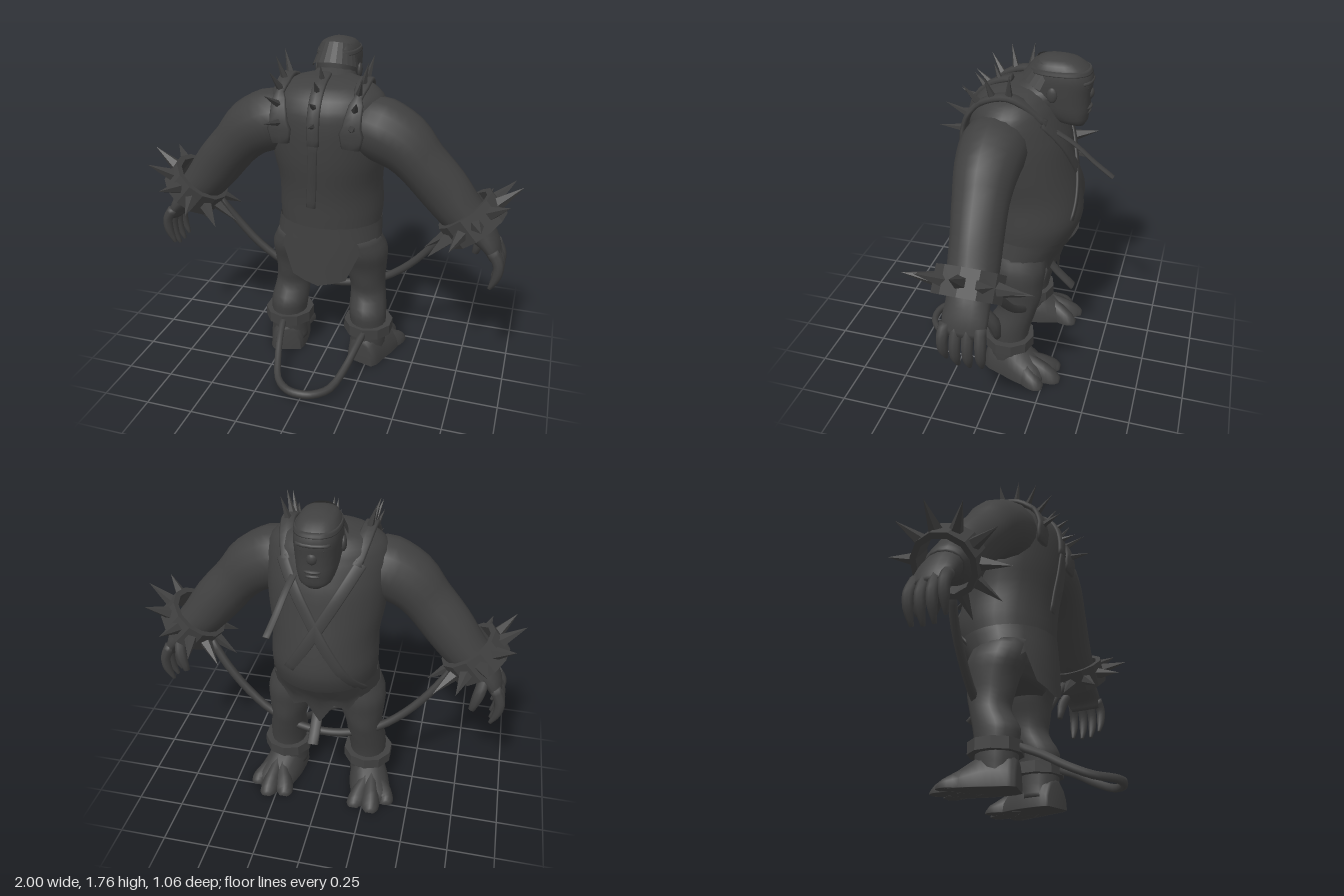
import * as THREE from 'three';

const V = (x, y, z) => new THREE.Vector3(x, y, z);
const X = V(1, 0, 0), Y = V(0, 1, 0), Z = V(0, 0, 1);
const soft = (v, p) => Math.sign(v) * Math.abs(v) ** p;

// Smooth loft. Rows: [x, y, z, halfWidth along ref, halfDepth]; dir fixes the ring plane,
// floor clamps the underside, pow below 1 makes the section squarer.
function loft(rows, ref, dir, sides = 16, floor = -1, pow = 1) {
  const path = new THREE.CatmullRomCurve3(rows.map(r => V(r[0], r[1], r[2])));
  const size = new THREE.CatmullRomCurve3(rows.map(r => V(r[3], r[4], 0)));
  const n = (rows.length - 1) * 3, pos = [], idx = [];
  const put = p => pos.push(p.x, Math.max(p.y, floor), p.z);
  for (let i = 0; i <= n; i++) {
    const p = path.getPoint(i / n), s = size.getPoint(i / n);
    const t = dir || path.getTangent(i / n);
    const a = ref.clone().addScaledVector(t, -ref.dot(t)).normalize();
    const b = t.clone().cross(a);
    for (let j = 0; j < sides; j++) {
      const u = j / sides * Math.PI * 2;
      put(p.clone().addScaledVector(a, soft(Math.cos(u), pow) * s.x).addScaledVector(b, soft(Math.sin(u), pow) * s.y));
    }
  }
  for (let i = 0; i < n; i++) for (let j = 0; j < sides; j++) {
    const k = (j + 1) % sides, A = i * sides, B = A + sides;
    idx.push(A + j, A + k, B + k, A + j, B + k, B + j);
  }
  const c = (n + 1) * sides, last = n * sides;
  put(path.getPoint(0)); put(path.getPoint(1));
  for (let j = 0; j < sides; j++) {
    const k = (j + 1) % sides;
    idx.push(c, k, j, c + 1, last + j, last + k);
  }
  const g = new THREE.BufferGeometry();
  g.setAttribute('position', new THREE.Float32BufferAttribute(pos, 3));
  g.setIndex(idx);
  g.computeVertexNormals();
  return g;
}

function flat(g) {
  const f = g.index ? g.toNonIndexed() : g;
  f.computeVertexNormals();
  return f;
}

// Torso rings, also sampled to lay straps on the skin
const TORSO = [
  [0, 0.58, -0.03, 0.17, 0.12], [0, 0.67, -0.05, 0.27, 0.185], [0, 0.8, -0.08, 0.272, 0.24],
  [0, 0.92, -0.095, 0.28, 0.265], [0, 1.05, -0.08, 0.275, 0.265], [0, 1.2, -0.05, 0.297, 0.263],
  [0, 1.35, -0.028, 0.31, 0.255], [0, 1.46, -0.01, 0.31, 0.232], [0, 1.53, -0.01, 0.285, 0.2],
  [0, 1.58, -0.02, 0.22, 0.155], [0, 1.61, -0.05, 0.1, 0.09]];
function skinZ(x, y, side) {
  let i = 0;
  while (i < TORSO.length - 2 && TORSO[i + 1][1] < y) i++;
  const a = TORSO[i], b = TORSO[i + 1], f = (y - a[1]) / (b[1] - a[1]);
  const m = k => a[k] + (b[k] - a[k]) * f;
  return m(2) + side * m(4) * Math.sqrt(Math.max(0, 1 - (x / m(3)) ** 2));
}

export function createModel() {
  const model = new THREE.Group();
  model.name = 'chainedBrute';
  const mat = new THREE.MeshStandardMaterial({ color: 0x404040, side: THREE.DoubleSide });
  mat.name = 'darkGrey';
  const add = (name, geo, parent = model) => {
    const m = new THREE.Mesh(geo, mat);
    m.name = name;
    parent.add(m);
    return m;
  };
  const mir = (rows, s) => rows.map(r => [s * r[0], ...r.slice(1)]);
  const ribbon = (name, pts, w, ref, d = 0.008) =>
    add(name, loft(pts.map(p => [...p, w / 2, d]), ref, null, 8, -1, 0.6));
  const spike = (base, dir, len, r, parent = model) => {
    const m = add('spike', flat(new THREE.ConeGeometry(r, len, 5)), parent);
    dir.normalize();
    m.quaternion.setFromUnitVectors(Y, dir);
    m.position.copy(base).addScaledVector(dir, len / 2);
  };
  const ball = (name, x, y, z, rx, ry, rz) => {
    const m = add(name, new THREE.SphereGeometry(1, 12, 8));
    m.position.set(x, y, z);
    m.scale.set(rx, ry, rz);
  };
  // Square-section cuff
  const cuff = (name, r0, r1, h, sides, parent) => add(name, flat(new THREE.LatheGeometry(
    [[r0, -h], [r1, -h], [r1, h], [r0, h], [r0, -h]].map(p => new THREE.Vector2(...p)), sides)), parent);

  // Body and neck
  add('torso', loft(TORSO, X, Y, 28));
  add('neck', loft([[0, 1.48, 0, 0.15, 0.11], [0, 1.54, -0.1, 0.13, 0.1], [0, 1.58, -0.2, 0.1, 0.1]], X));

  // Head, facing -z
  add('head', loft([[0, 1.425, -0.31, 0.035, 0.035], [0, 1.45, -0.285, 0.075, 0.075], [0, 1.51, -0.24, 0.097, 0.13],
    [0, 1.58, -0.22, 0.106, 0.152], [0, 1.65, -0.225, 0.11, 0.155], [0, 1.705, -0.222, 0.104, 0.142],
    [0, 1.745, -0.208, 0.08, 0.1], [0, 1.765, -0.2, 0.03, 0.04]], X, Y, 24, -1, 0.8));
  ball('nose', 0, 1.59, -0.366, 0.026, 0.03, 0.02);
  ball('brow', 0, 1.655, -0.35, 0.085, 0.016, 0.034);
  ball('upperLip', 0, 1.522, -0.355, 0.045, 0.011, 0.026);
  ball('lowerLip', 0, 1.498, -0.348, 0.045, 0.013, 0.028);
  const cap = add('capFlap', flat(new THREE.CylinderGeometry(0.09, 0.12, 0.11, 12, 1, true, -Math.PI / 2, Math.PI)));
  cap.position.set(0, 1.67, -0.17);
  cap.rotation.x = -0.4;
  add('headband', loft([[0, 1.69, -0.222, 0.11, 0.151], [0, 1.712, -0.221, 0.104, 0.142]], X, Y, 24, -1, 0.8));

  for (const s of [1, -1]) {
    const side = s > 0 ? 'left' : 'right';
    ball(side + 'Ear', s * 0.112, 1.6, -0.205, 0.014, 0.038, 0.026);
    ball(side + 'Eye', s * 0.045, 1.63, -0.357, 0.016, 0.01, 0.012);

    // Arm, hand and fingers
    add(side + 'Arm', loft(mir([[0.16, 1.41, 0.02, 0.14, 0.11], [0.28, 1.375, 0.03, 0.165, 0.16],
      [0.4, 1.315, 0.03, 0.152, 0.152], [0.5, 1.215, 0.025, 0.135, 0.13], [0.61, 1.09, 0.01, 0.125, 0.13],
      [0.7, 0.98, 0, 0.122, 0.118], [0.77, 0.915, -0.005, 0.115, 0.1], [0.8, 0.885, -0.005, 0.1, 0.08]], s), Z));
    add(side + 'Hand', loft(mir([[0.75, 0.94, 0, 0.1, 0.085], [0.82, 0.87, -0.01, 0.105, 0.068],
      [0.87, 0.81, -0.01, 0.108, 0.047], [0.897, 0.75, -0.01, 0.098, 0.032]], s), Z));
    [0.075, 0.022, -0.032, -0.088].forEach((z, i) => {
      const d = [0.03, 0, 0, 0.01][i];
      add(side + 'Finger', loft(mir([[0.885, 0.8, z, 0.03, 0.03], [0.92, 0.71 + d, z * 1.1, 0.028, 0.028],
        [0.917, 0.64 + d, z * 1.1, 0.025, 0.024], [0.888, 0.565 + d, z * 1.05, 0.01, 0.01]], s), Z, null, 8));
    });
    add(side + 'Thumb', loft(mir([[0.83, 0.86, -0.07, 0.03, 0.03], [0.81, 0.78, -0.125, 0.03, 0.031],
      [0.783, 0.68, -0.135, 0.016, 0.018]], s), Z, null, 8));

    // Spiked wrist band
    const wrist = new THREE.Group();
    wrist.name = side + 'WristBand';
    wrist.position.set(s * 0.766, 0.937, 0);
    wrist.rotation.z = s * 0.7;
    model.add(wrist);
    cuff('band', 0.135, 0.165, 0.066, 12, wrist);
    for (let k = 0; k < 10; k++) {
      const a = k * Math.PI / 5, d = V(Math.cos(a), 0, Math.sin(a));
      spike(d.clone().multiplyScalar(0.15), d, 0.156, 0.036, wrist);
    }

    // Leg, foot and toes
    add(side + 'Leg', loft(mir([[0.16, 0.76, -0.04, 0.12, 0.16], [0.19, 0.67, -0.055, 0.13, 0.16],
      [0.2, 0.57, -0.07, 0.12, 0.135], [0.212, 0.48, -0.075, 0.1, 0.122], [0.22, 0.4, -0.07, 0.098, 0.105],
      [0.23, 0.3, -0.03, 0.104, 0.118], [0.235, 0.22, -0.025, 0.1, 0.108], [0.235, 0.12, -0.025, 0.1, 0.105],
      [0.23, 0.05, -0.02, 0.1, 0.105]], s), X, Y));
    add(side + 'Foot', loft(mir([[0.215, 0, 0.085, 0.075, 0.13], [0.225, 0, 0.05, 0.095, 0.18],
      [0.245, 0, -0.05, 0.11, 0.19], [0.275, 0, -0.15, 0.115, 0.13],
      [0.293, 0, -0.22, 0.105, 0.08], [0.297, 0, -0.25, 0.07, 0.04]], s), X, null, 16, 0));
    for (const [x, z] of [[0.205, -0.315], [0.3, -0.335], [0.375, -0.255]])
      add(side + 'Toe', loft(mir([[0.27, 0, -0.1, 0.05, 0.15], [0.27 + (x - 0.27) * 0.7, 0, z + 0.09, 0.054, 0.09],
        [x, 0, z + 0.03, 0.045, 0.05], [x, 0, z, 0.022, 0.018]], s), X, null, 12, 0));
    cuff(side + 'AnkleCuff', 0.095, 0.137, 0.03, 10).position.set(s * 0.235, 0.2, -0.03);

    // Shoulder strap with spikes
    const strap = mir([[0.18, 1.31, 0.2], [0.185, 1.42, 0.205], [0.195, 1.52, 0.165], [0.2, 1.585, 0.08],
      [0.2, 1.605, -0.02], [0.185, 1.56, -0.11], [0.16, 1.48, -0.19]], s);
    add(side + 'ShoulderStrap', loft(strap.map((p, i) => [...p, [0.048, 0.048, 0.036][Math.min(i, 2)], 0.014]), X, null, 8, -1, 0.6));
    const line = new THREE.CatmullRomCurve3(strap.map(p => V(...p)));
    for (const t of [0.16, 0.29, 0.42, 0.54, 0.67]) {
      const p = line.getPoint(t);
      spike(p, V(s * 0.06, p.y - 1.38, p.z), 0.125, 0.02);
    }

    // Crossed chest strap, the left one reaching down to the hip
    const chest = [];
    for (let k = 0; k <= (s > 0 ? 9 : 7); k++) {
      const x = s * (0.19 - 0.046 * k), y = 1.49 - 0.078 * k;
      chest.push([x, y, skinZ(x, y, -1) - 0.004]);
    }
    ribbon(side + 'ChestStrap', chest, 0.06, V(1, -s * 0.6, 0).normalize());
  }

  // Spine strap with its hanging tail
  const spine = [[0, 1.32, 0.235], [0, 1.42, 0.232], [0, 1.52, 0.198], [0, 1.59, 0.12], [0, 1.625, 0.02]];
  ribbon('spineStrap', spine, 0.065, X, 0.014);
  ribbon('spineTail', [[0, 1.33, 0.238], [-0.01, 1.2, 0.222], [-0.02, 1.08, 0.2], [-0.03, 0.97, 0.185]], 0.05, X);
  const spineLine = new THREE.CatmullRomCurve3(spine.map(p => V(...p)));
  for (const t of [0.25, 0.45, 0.65, 0.85]) {
    const p = spineLine.getPoint(t);
    spike(p, V(0, p.y - 1.38, p.z), 0.085, 0.017);
  }

  // Ragged loincloth wrapped round the hips
  const hem = [0.51, 0.53, 0.55, 0.69, 0.64, 0.74, 0.66, 0.73, 0.67, 0.72, 0.62, 0.66, 0.54];
  const ring = hem.length * 2 - 2, rows = 4, cp = [], ci = [];
  for (let j = 0; j < ring; j++) {
    const a = j / ring * Math.PI * 2, low = hem[j < hem.length ? j : ring - j];
    for (let i = 0; i <= rows; i++) {
      const top = 0.835 + 0.015 * Math.cos(a), y = top + (low - top) * i / rows;
      const f = Math.min(1, (top - y) / 0.15);
      cp.push(Math.sin(a) * (0.279 + 0.015 * f), y, -0.085 + 0.05 * f + Math.cos(a) * (0.258 - 0.048 * f));
      if (i < rows) {
        const p = j * (rows + 1) + i, q = ((j + 1) % ring) * (rows + 1) + i;
        ci.push(p, p + 1, q + 1, p, q + 1, q);
      }
    }
  }
  const cloth = new THREE.BufferGeometry();
  cloth.setAttribute('position', new THREE.Float32BufferAttribute(cp, 3));
  cloth.setIndex(ci);
  cloth.computeVertexNormals();
  add('loincloth', cloth);
  ribbon('loinclothTail', [[0.02, 0.66, -0.16], [0.02, 0.57, -0.21], [0.02, 0.45, -0.33]], 0.06, X, 0.012);

  // Tethers between the wrists and the ankles, and a loose neck cord
  const both = half => [...mir(half, -1), ...half.slice(0, -1).reverse()];
  ribbon('wristTether', both([[0.65, 0.84, -0.05], [0.56, 0.71, -0.08], [0.44, 0.57, -0.1], [0.3, 0.46, -0.12],
    [0.14, 0.395, -0.13], [0, 0.375, -0.13]]), 0.04, Z, 0.02);
  ribbon('ankleTether', both([[0.235, 0.2, 0.09], [0.215, 0.155, 0.2], [0.19, 0.1, 0.3], [0.145, 0.05, 0.42],
    [0.07, 0.045, 0.49], [0, 0.045, 0.505]]), 0.04, Y, 0.018);
  ribbon('neckCord', [[0.12, 1.43, -0.22], [0.14, 1.38, -0.33], [0.16, 1.31, -0.43], [0.18, 1.25, -0.53]], 0.035, X, 0.006);

  return model;
}
